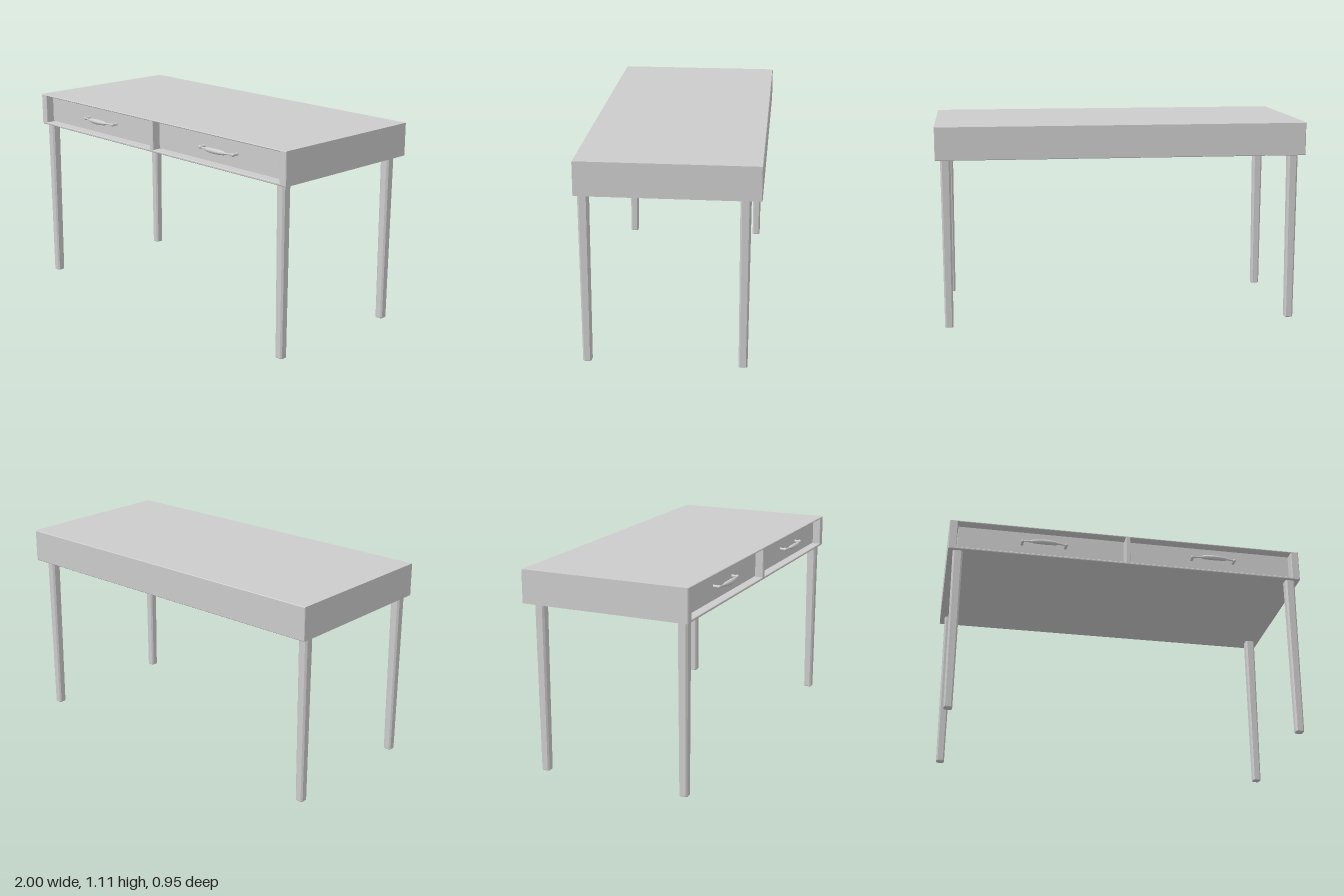
import * as THREE from 'three';
import { toCreasedNormals } from 'three/addons/utils/BufferGeometryUtils.js';

const material = new THREE.MeshStandardMaterial({ color: 0xcccccc });
const FRONT = 0.463, BACK = -0.475, BOTTOM = 0.925, TOP = 1.105;
const FACE = 0.418; // drawer fronts sit back from the frame
const OPEN = { x0: 0.014, x1: 0.955, y0: 0.938, y1: 1.096 };

function add(parent, name, geometry, x = 0, y = 0, z = 0) {
  const mesh = new THREE.Mesh(geometry, material);
  mesh.name = name;
  mesh.position.set(x, y, z);
  parent.add(mesh);
  return mesh;
}

function rectangle(PathType, x0, x1, y0, y1) {
  return new PathType([[x0, y0], [x1, y0], [x1, y1], [x0, y1]].map((p) => new THREE.Vector2(...p)));
}

// Case with two drawer openings and softly bevelled edges
function caseGeometry() {
  const bevel = 0.003;
  const shape = rectangle(THREE.Shape, -1, 1, BOTTOM, TOP);
  shape.holes.push(
    rectangle(THREE.Path, -OPEN.x1, -OPEN.x0, OPEN.y0, OPEN.y1),
    rectangle(THREE.Path, OPEN.x0, OPEN.x1, OPEN.y0, OPEN.y1));
  const geometry = new THREE.ExtrudeGeometry(shape, {
    depth: FRONT - BACK - 2 * bevel, bevelSize: bevel, bevelThickness: bevel,
    bevelOffset: -bevel, bevelSegments: 1,
  });
  return geometry.translate(0, 0, BACK + bevel);
}

// Square leg with chamfered corners, narrowing towards a bevelled foot
function legGeometry() {
  const h = 0.0275, c = 0.018, height = BOTTOM + 0.005, bevel = 0.005;
  const shape = new THREE.Shape([[h, -c], [h, c], [c, h], [-c, h], [-h, c], [-h, -c], [-c, -h], [c, -h]]
    .map((p) => new THREE.Vector2(...p)));
  const geometry = new THREE.ExtrudeGeometry(shape, {
    depth: height - 2 * bevel, bevelSize: bevel, bevelThickness: bevel, bevelOffset: -bevel, bevelSegments: 2,
  });
  geometry.translate(0, 0, bevel).rotateX(-Math.PI / 2);
  const p = geometry.attributes.position;
  for (let i = 0; i < p.count; i++) {
    const s = THREE.MathUtils.lerp(0.83, 1, p.getY(i) / height);
    p.setXYZ(i, p.getX(i) * s, p.getY(i), p.getZ(i) * s);
  }
  return toCreasedNormals(geometry, 0.3);
}

// Bowed grip: a turned spindle with a swollen middle, bent forwards
function gripGeometry() {
  const profile = [[0.004, -0.122], [0.005, -0.09], [0.007, -0.068], [0.011, -0.064], [0.0135, -0.03],
    [0.0145, 0], [0.0135, 0.03], [0.011, 0.064], [0.007, 0.068], [0.005, 0.09], [0.004, 0.122]];
  const geometry = new THREE.LatheGeometry(profile.map((p) => new THREE.Vector2(...p)), 16);
  geometry.rotateZ(-Math.PI / 2);
  const p = geometry.attributes.position;
  for (let i = 0; i < p.count; i++) {
    p.setZ(i, p.getZ(i) + 0.014 * (1 - (p.getX(i) / 0.122) ** 2));
  }
  geometry.computeVertexNormals();
  return geometry;
}

function createHandle() {
  const handle = new THREE.Group();
  handle.name = 'handle';
  add(handle, 'grip', gripGeometry(), 0, 0, 0.03);
  for (const side of [-1, 1]) {
    const post = new THREE.CylinderGeometry(0.006, 0.009, 0.03, 14).rotateX(Math.PI / 2);
    add(handle, 'post', post, side * 0.122, 0, 0.015);
    add(handle, 'postKnob', new THREE.SphereGeometry(0.0105, 14, 10), side * 0.122, 0, 0.03);
  }
  return handle;
}

export function createModel() {
  const desk = new THREE.Group();
  desk.name = 'desk';
  add(desk, 'case', caseGeometry());
  add(desk, 'backPanel', new THREE.BoxGeometry(1.96, 0.17, 0.02), 0, (BOTTOM + TOP) / 2, BACK + 0.01);

  // Drawers, each with a small gap to its opening
  const gap = 0.005, depth = 0.82;
  for (const side of [-1, 1]) {
    const drawer = new THREE.Group();
    drawer.name = side > 0 ? 'leftDrawer' : 'rightDrawer';
    drawer.position.set(side * (OPEN.x0 + OPEN.x1) / 2, (OPEN.y0 + OPEN.y1) / 2, FACE);
    add(drawer, 'drawerBox',
      new THREE.BoxGeometry(OPEN.x1 - OPEN.x0 - 2 * gap, OPEN.y1 - OPEN.y0 - 2 * gap, depth), 0, 0, -depth / 2);
    const handle = createHandle();
    handle.position.x = 0.012;
    drawer.add(handle);
    desk.add(drawer);
  }

  // Four tapered legs
  const leg = legGeometry();
  for (const x of [-0.946, 0.946]) {
    add(desk, 'frontLeg', leg, x, 0, 0.419);
    add(desk, 'backLeg', leg, x, 0, -0.393);
  }
  return desk;
}
